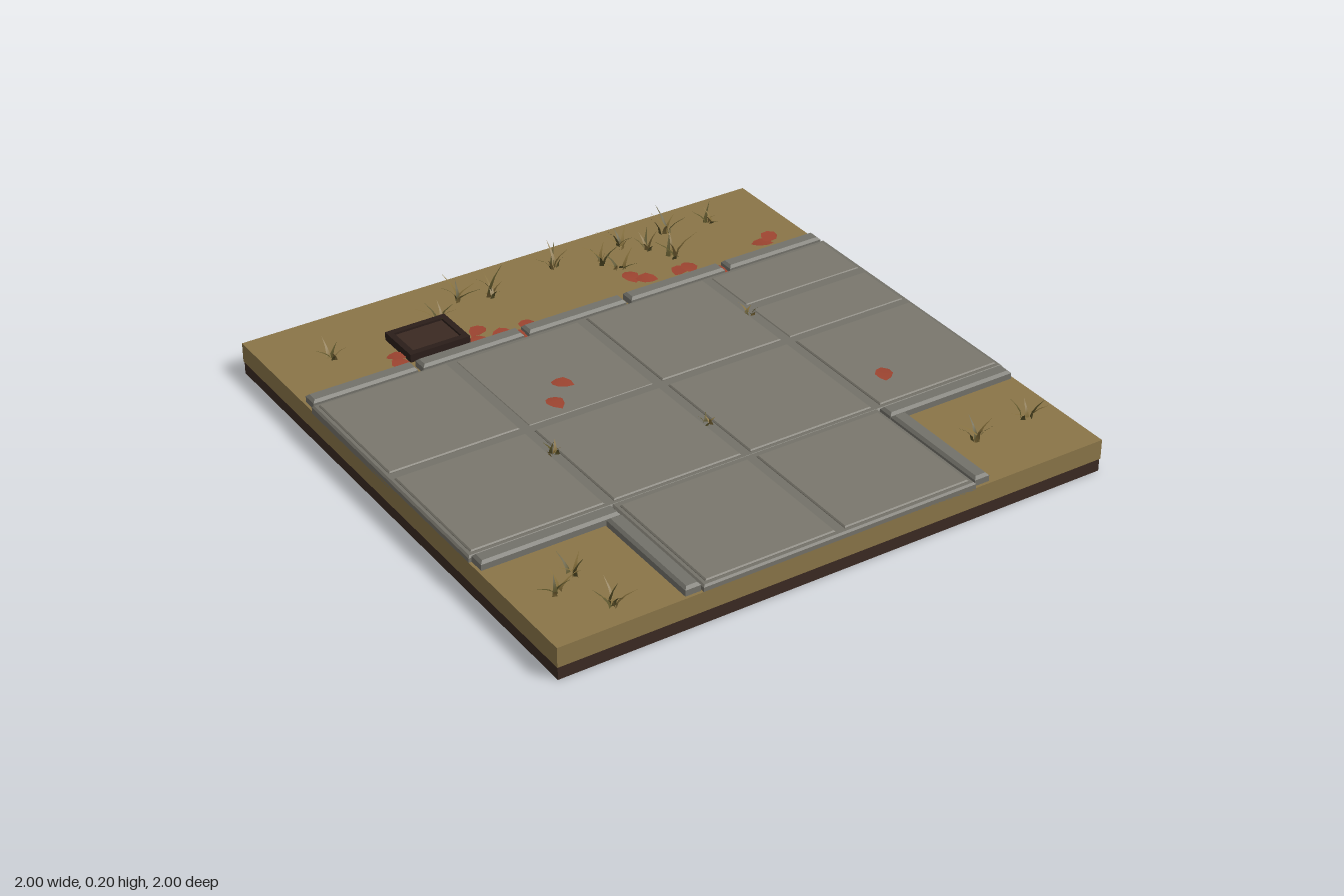
import * as THREE from 'three';
import { mergeGeometries } from 'three/addons/utils/BufferGeometryUtils.js';

const mat = (name, color, side = THREE.FrontSide) => {
  const m = new THREE.MeshStandardMaterial({ color, side });
  m.name = name;
  return m;
};

// small seeded generator
let seed = 7;
const rnd = (a, b) => {
  seed = (seed * 16807) % 2147483647;
  return a + (b - a) * (seed / 2147483647);
};

// block with chamfered edges, given by its bounds
function block(x0, x1, z0, z1, y0, y1, bevel) {
  const s = new THREE.Shape();
  const a = x0 + bevel, b = x1 - bevel, c = -z1 + bevel, d = -z0 - bevel;
  s.moveTo(a, c);
  s.lineTo(b, c);
  s.lineTo(b, d);
  s.lineTo(a, d);
  s.closePath();
  const g = new THREE.ExtrudeGeometry(s, {
    depth: y1 - y0 - 2 * bevel, bevelEnabled: true, bevelSize: bevel, bevelThickness: bevel, bevelSegments: 1,
  });
  g.rotateX(-Math.PI / 2);
  g.translate(0, y0 + bevel, 0);
  return g;
}

// curved, tapering blade that leans towards an angle
function blade(angle, height, lean, width) {
  const pos = [], idx = [], n = 3;
  const dx = Math.cos(angle), dz = Math.sin(angle);
  for (let i = 0; i <= n; i++) {
    const t = i / n, r = lean * t * t + 0.004, w = width * (1 - t) * 0.5 + 0.0003;
    pos.push(dx * r - dz * w, height * t, dz * r + dx * w, dx * r + dz * w, height * t, dz * r - dx * w);
    if (i < n) idx.push(2 * i, 2 * i + 1, 2 * i + 2, 2 * i + 1, 2 * i + 3, 2 * i + 2);
  }
  const g = new THREE.BufferGeometry();
  g.setAttribute('position', new THREE.Float32BufferAttribute(pos, 3));
  g.setIndex(idx);
  g.computeVertexNormals();
  return g;
}

// pointed leaf lying flat, slightly folded along its rib
function leafGeometry() {
  const outline = [[0, -0.042], [0.02, -0.026], [0.03, 0.002], [0.018, 0.024], [0, 0.036],
    [-0.018, 0.026], [-0.03, 0.004], [-0.022, -0.022]];
  const g = new THREE.ShapeGeometry(new THREE.Shape(outline.map(([x, y]) => new THREE.Vector2(x, y))));
  g.rotateX(-Math.PI / 2);
  const p = g.attributes.position;
  for (let i = 0; i < p.count; i++) p.setY(i, Math.abs(p.getX(i)) * 0.2);
  g.computeVertexNormals();
  return g;
}

export function createModel() {
  seed = 7;
  const model = new THREE.Group();
  const earth = mat('dark earth', 0x3b2a22);
  const sand = mat('dry ground', 0x8a7548);
  const stone = mat('paving stone', 0x7a776d);
  const joint = mat('joint stone', 0x747269);
  const kerbStone = mat('kerb stone', 0x73726a);
  const frameWood = mat('dark frame', 0x2b1e1a);
  const grass = mat('olive grass', 0x5a5229, THREE.DoubleSide);
  const straw = mat('straw grass', 0x86703c, THREE.DoubleSide);
  const red = mat('red leaf', 0x9c4430, THREE.DoubleSide);

  const add = (name, geometry, material, parent = model) => {
    const m = new THREE.Mesh(geometry, material);
    m.name = name;
    parent.add(m);
    return m;
  };
  const group = (name) => {
    const g = new THREE.Group();
    g.name = name;
    model.add(g);
    return g;
  };
  const box = (w, h, d, x, y, z) => new THREE.BoxGeometry(w, h, d).translate(x, y, z);

  // ground layers
  add('earthLayer', box(1.995, 0.045, 1.995, 0, 0.0225, 0), earth);
  add('groundLayer', box(2, 0.07, 2, 0, 0.08, 0), sand);

  // bed beneath the paving: cross road and front path
  add('roadBed', block(-1, 1, -0.5, 0.5, 0.1, 0.136, 0.006), joint);
  add('pathBed', block(-0.5, 0.5, 0.49, 1, 0.1, 0.136, 0.006), joint);

  // paving slabs
  const paving = group('paving');
  const slab = (x0, x1, z0, z1, top) => add('slab', block(x0, x1, z0, z1, 0.12, top, 0.004), stone, paving);
  for (let row = 0; row < 3; row++) {
    for (let col = 0; col < 4; col++) {
      if (row === 2 && (col === 0 || col === 3)) continue;
      if (row === 0 && col === 3) continue;
      const x = -1 + col * 0.5, z = -0.5 + row * 0.5;
      slab(x + 0.017, x + 0.483, z + 0.017, z + 0.483, row === 0 && col === 1 ? 0.138 : 0.142);
    }
  }
  // split slab in the back corner
  slab(0.517, 0.983, -0.483, -0.27, 0.139);
  slab(0.517, 0.983, -0.235, -0.017, 0.139);

  // kerbs
  const kerbs = group('kerbs');
  const kerb = (x0, x1, z0, z1) => add('kerb', block(x0, x1, z0, z1, 0.1, 0.145, 0.009), kerbStone, kerbs);
  for (let i = 0; i < 5; i++) kerb(-0.99 + i * 0.4, -0.61 + i * 0.4, -0.56, -0.505);
  for (const s of [-1, 1]) {
    kerb(Math.min(s * 0.505, s * 0.99), Math.max(s * 0.505, s * 0.99), 0.5, 0.556);
    kerb(Math.min(s * 0.503, s * 0.558), Math.max(s * 0.503, s * 0.558), 0.56, 0.99);
  }

  // wooden hatch: raised frame around a sunken lid
  const hatch = group('hatch');
  add('hatchLid', box(0.18, 0.025, 0.13, -0.48, 0.124, -0.675), earth, hatch);
  for (const s of [-1, 1]) {
    add('hatchFrameLong', box(0.224, 0.035, 0.022, -0.48, 0.127, -0.675 + s * 0.076), frameWood, hatch);
    add('hatchFrameShort', box(0.022, 0.035, 0.13, -0.48 + s * 0.101, 0.127, -0.675), frameWood, hatch);
  }

  // grass tufts
  const tufts = group('grassTufts');
  const tuft = (x, z, y, size, count) => {
    const parts = [[], []];
    const turn = rnd(0, 6.28);
    for (let i = 0; i < count; i++) {
      const g = blade(turn + (i * 6.28) / count + rnd(-0.4, 0.4), size * rnd(0.5, 1), size * rnd(0.4, 0.95), 0.017);
      parts[i % 2].push(g.translate(x + rnd(-0.014, 0.014), y, z + rnd(-0.014, 0.014)));
    }
    add('oliveBlades', mergeGeometries(parts[0]), grass, tufts);
    add('strawBlades', mergeGeometries(parts[1]), straw, tufts);
  };
  for (const [x, z] of [[-0.8, -0.75], [-0.38, -0.77], [-0.26, -0.86], [-0.15, -0.82], [0.13, -0.88], [0.28, -0.81],
    [0.31, -0.74], [0.4, -0.87], [0.58, -0.87], [0.75, -0.85], [0.46, -0.81], [0.51, -0.71],
    [-0.77, 0.72], [-0.86, 0.77], [-0.76, 0.91], [0.67, 0.79], [0.88, 0.77]]) {
    tuft(x, z, 0.113, rnd(0.06, 0.09), 6);
  }
  // weeds in the joints
  for (const [x, z] of [[-0.5, 0.16], [0, 0.27], [0.49, -0.22]]) tuft(x, z, 0.134, 0.036, 6);

  // fallen leaves
  const leaves = group('fallenLeaves');
  const leaf = leafGeometry();
  for (const [x, z, y] of [[-0.615, -0.64, 0.118], [-0.63, -0.59, 0.12], [-0.31, -0.64, 0.118], [-0.34, -0.58, 0.119],
    [-0.25, -0.58, 0.118], [-0.155, -0.58, 0.12], [-0.2, -0.535, 0.119], [0.31, -0.67, 0.118], [0.345, -0.625, 0.121],
    [0.475, -0.615, 0.118], [0.51, -0.61, 0.121], [0.59, -0.54, 0.119], [0.82, -0.62, 0.118], [0.865, -0.64, 0.121],
    [-0.27, -0.17, 0.144], [-0.35, -0.08, 0.145], [0.63, 0.35, 0.145]]) {
    const m = add('leaf', leaf, red, leaves);
    m.position.set(x, y, z);
    m.rotation.set(rnd(-0.06, 0.06), rnd(0, 6.28), rnd(-0.06, 0.06));
  }
  return model;
}
